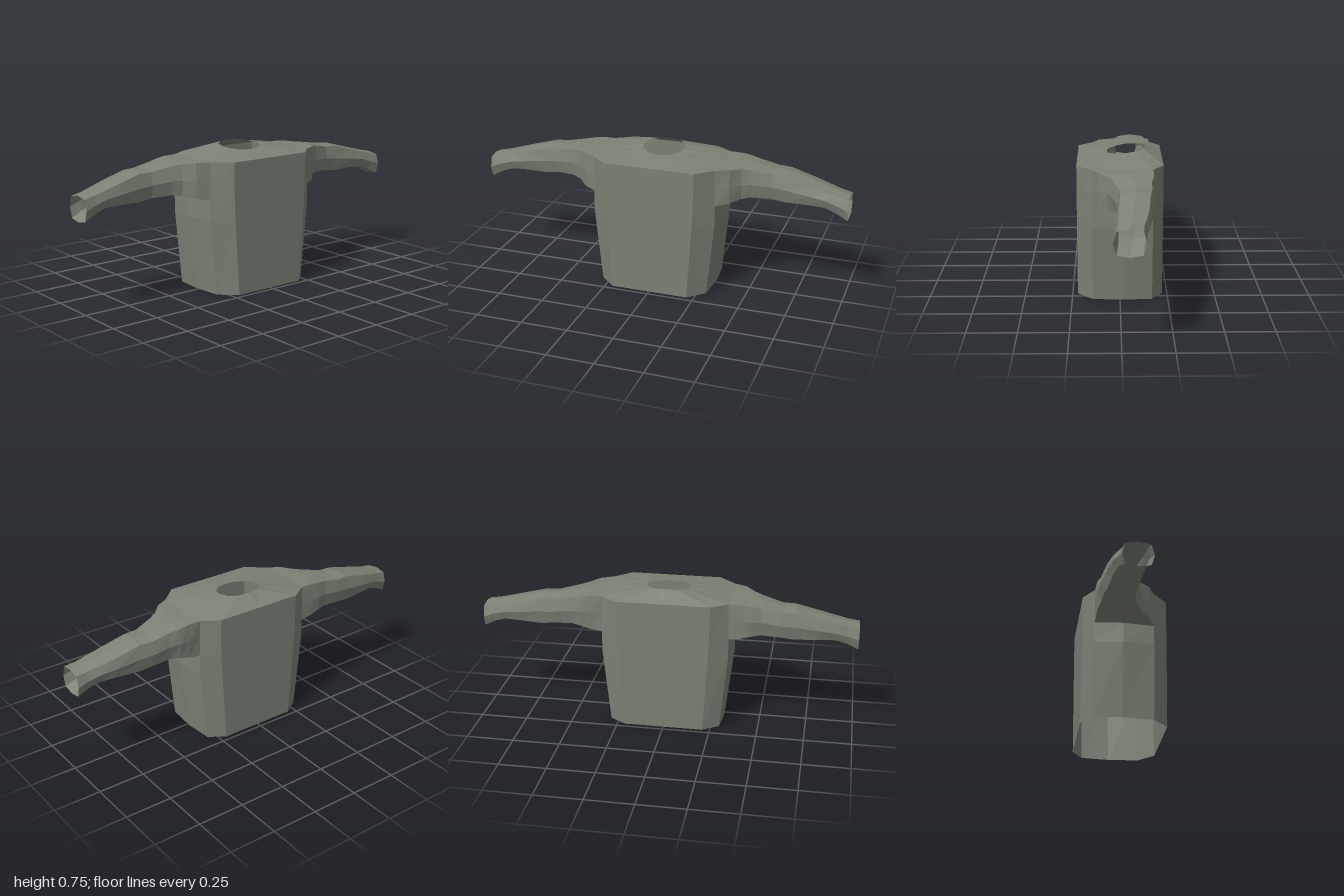
import * as THREE from 'three';

const fabric = new THREE.MeshStandardMaterial({ color: 0x7a8375, flatShading: true, side: THREE.DoubleSide });
fabric.name = 'olive grey fabric';

// Joins rows of points into a faceted open sheet; skip(row, column) leaves openings.
function loft(name, rows, side, skip = () => false) {
  const pos = [];
  for (let r = 0; r < rows.length - 1; r++) {
    for (let c = 0; c < rows[r].length - 1; c++) {
      if (skip(r, c)) continue;
      const a = rows[r][c], b = rows[r][c + 1], d = rows[r + 1][c], e = rows[r + 1][c + 1];
      const tris = side > 0 ? [a, b, e, a, e, d] : [a, e, b, a, d, e];
      for (const p of tris) pos.push(p[0] * side, p[1], p[2]);
    }
  }
  const geo = new THREE.BufferGeometry();
  geo.setAttribute('position', new THREE.Float32BufferAttribute(pos, 3));
  geo.computeVertexNormals();
  const mesh = new THREE.Mesh(geo, fabric);
  mesh.name = name;
  return mesh;
}

// Half outline of the body, front centre to back centre.
const bodyZ = [0.223, 0.223, 0.142, -0.02, -0.168, -0.224, -0.224];
const bodyRow = (y, front, corner, mid) =>
  [0, front, corner, mid, corner, front, 0].map((x, i) => [x, y, bodyZ[i]]);
const bodyRows = [
  bodyRow(0, 0.21, 0.295, 0.308),
  bodyRow(0.4, 0.235, 0.335, 0.355),
  bodyRow(0.51, 0.24, 0.335, 0.352),
  bodyRow(0.705, 0.243, 0.33, 0.342),
];

// Half outline of the neck opening, rising to the back.
const neckRow = [
  [0, 0.728, 0.07], [0.06, 0.73, 0.057], [0.1, 0.735, 0.015], [0.115, 0.741, -0.03],
  [0.1, 0.747, -0.09], [0.06, 0.752, -0.125], [0, 0.754, -0.135],
];

// Sleeve stations: x, top, bottom, front z, back z
const stations = [
  [0.4, 0.706, 0.518, 0.115, -0.173],
  [0.45, 0.703, 0.527, 0.068, -0.175],
  [0.5, 0.698, 0.53, 0.048, -0.168],
  [0.6, 0.679, 0.523, 0.02, -0.166],
  [0.67, 0.677, 0.512, 0.019, -0.157],
  [0.8, 0.643, 0.516, 0.026, -0.146],
  [0.88, 0.622, 0.513, 0.029, -0.132],
  [0.94, 0.607, 0.492, 0.031, -0.118],
  [1, 0.595, 0.462, 0.04, -0.114],
];

// Eight-sided ring, starting at the lower front corner and going over the top.
function sleeveRing([x, t, b, f, k], i) {
  const iz = Math.min(0.015, 0.006 + i * 0.004), iy = Math.min(0.011, 0.002 + i * 0.004);
  const m = (f + k) / 2, h = (t + b) / 2;
  const ring = [
    [x, b + iy, f - iz], [x, h, f], [x, t - iy, f - iz], [x, t, m],
    [x, t - iy, k + iz], [x, h, k], [x, b + iy, k + iz], [x, b, m],
  ];
  return [...ring, ring[0]];
}

// The first ring follows the armhole of the body.
const [low, top] = [bodyRows[2], bodyRows[3]];
const between = (i) => low[i].map((v, n) => (v + top[i][n]) / 2);
const armhole = [low[2], between(2), top[2], top[3], top[4], between(4), low[4], low[3], low[2]];
const sleeveRows = [armhole, ...stations.map(sleeveRing)];

export function createModel() {
  const shirt = new THREE.Group();
  shirt.name = 'shirt';
  for (const [side, label] of [[1, 'left'], [-1, 'right']]) {
    // Columns run front to back, so rows are handed in top first for outward faces
    const torso = [...bodyRows].reverse();
    shirt.add(loft(label + 'Torso', torso, -side, (r, c) => r === 0 && (c === 2 || c === 3)));
    shirt.add(loft(label + 'Shoulder', [neckRow, top], -side));
    shirt.add(loft(label + 'Sleeve', sleeveRows, -side));
  }
  // Side was used for winding above, so mirror each part to its own side
  shirt.children.forEach((mesh) => {
    mesh.geometry.scale(-1, 1, 1);
    const p = mesh.geometry.attributes.position;
    for (let i = 0; i < p.count; i += 3) {
      const v = [p.getX(i), p.getY(i), p.getZ(i)];
      p.setXYZ(i, p.getX(i + 1), p.getY(i + 1), p.getZ(i + 1));
      p.setXYZ(i + 1, ...v);
    }
    mesh.geometry.computeVertexNormals();
  });
  return shirt;
}
